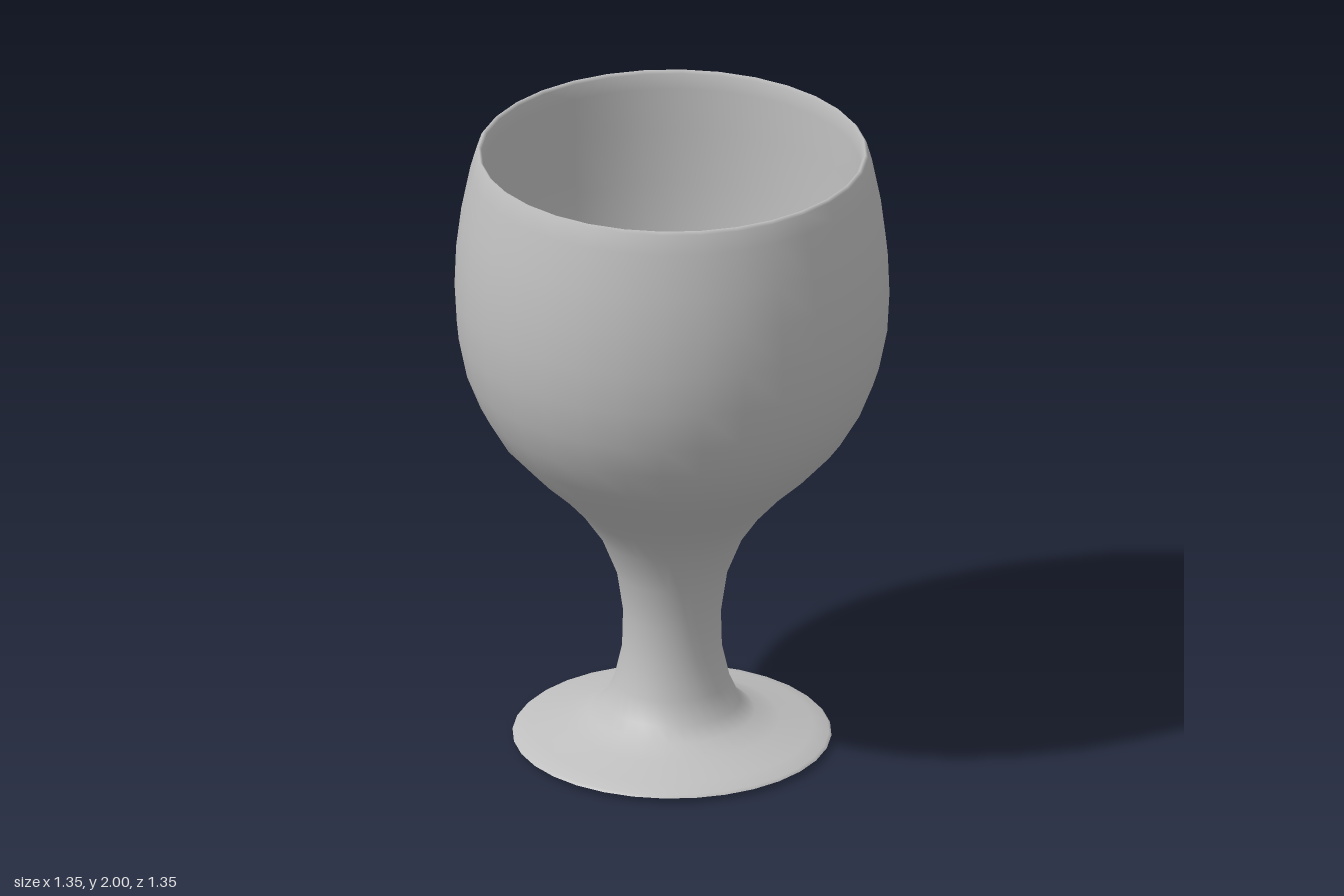
import * as THREE from 'three';

const SIDES = 32;

export function createModel() {
  const group = new THREE.Group();
  group.name = 'goblet';
  const grey = new THREE.MeshStandardMaterial({ color: 0xbfbfbf });
  grey.name = 'grey';

  // Revolves a profile of [radius, height] points around the y axis
  const turn = (name, profile) => {
    const points = profile.map(([r, y]) => new THREE.Vector2(r, y));
    const mesh = new THREE.Mesh(new THREE.LatheGeometry(points, SIDES), grey);
    mesh.name = name;
    group.add(mesh);
  };

  // Nearly flat bottom of the foot
  turn('footUnderside', [[0, 0.008], [0.3, 0.002], [0.42, 0.006], [0.495, 0.016]]);

  // Flared foot and waisted stem
  const footAndStem = [
    [0.495, 0.016], [0.487, 0.024], [0.437, 0.041], [0.335, 0.065], [0.257, 0.093],
    [0.212, 0.13], [0.18, 0.2], [0.155, 0.31], [0.152, 0.435], [0.172, 0.57], [0.222, 0.695],
  ];
  // Outside of the bowl up to the rim
  const bowlOutside = [
    [0.287, 0.79], [0.363, 0.875], [0.443, 0.95], [0.538, 1.055], [0.599, 1.16],
    [0.642, 1.27], [0.668, 1.4], [0.675, 1.53], [0.67, 1.66], [0.654, 1.79],
    [0.626, 1.93], [0.609, 1.99],
  ];
  const rim = [[0.6, 2], [0.591, 1.99]];
  // Steep inner wall running into a shallow rounded floor
  const bowlInside = [
    [0.587, 1.94], [0.587, 1.8], [0.583, 1.62], [0.572, 1.45], [0.55, 1.3],
    [0.515, 1.18], [0.46, 1.085], [0.38, 1.02], [0.27, 0.975], [0.13, 0.95], [0, 0.943],
  ];
  turn('footStemAndBowl', [...footAndStem, ...bowlOutside, ...rim, ...bowlInside]);

  return group;
}
